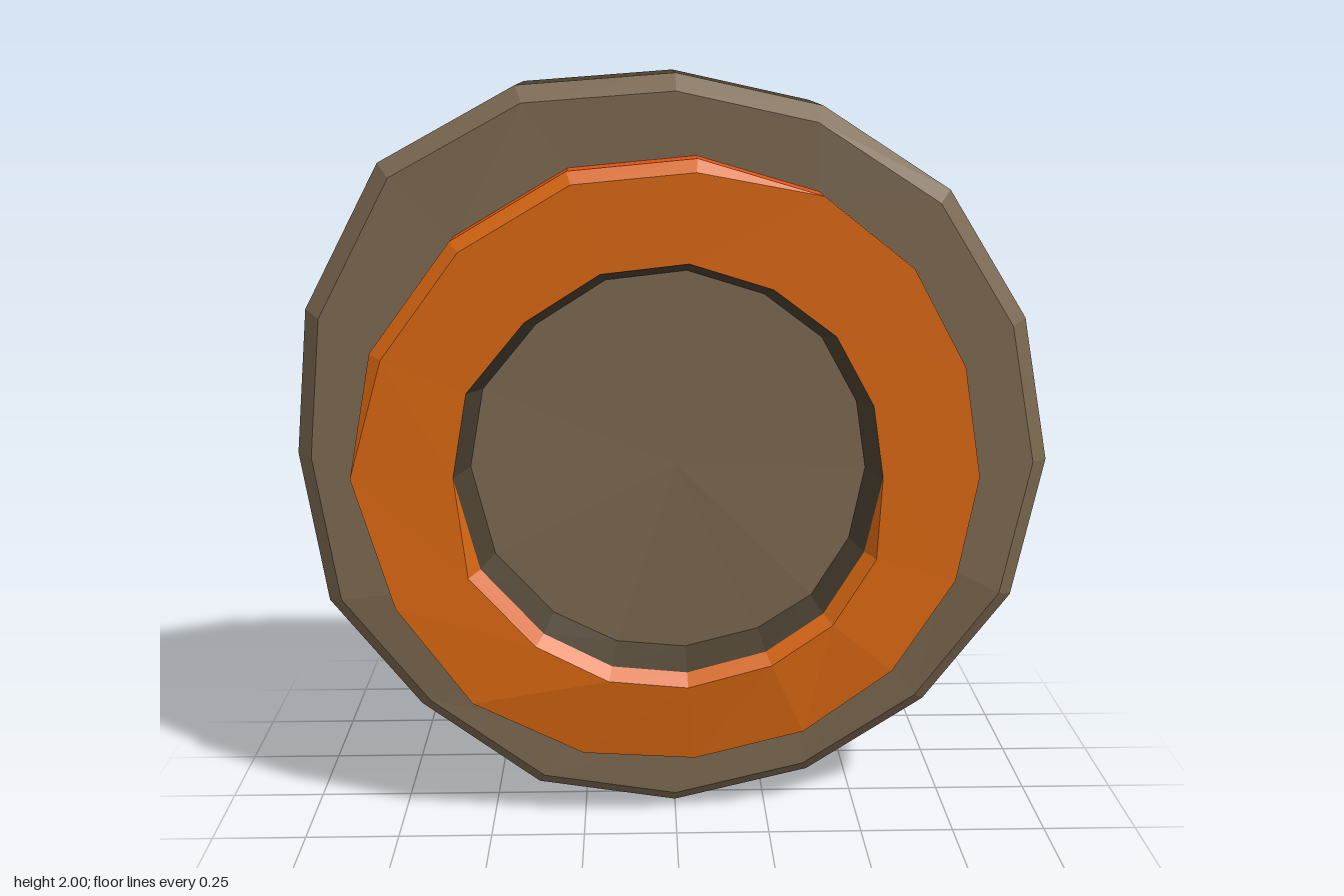
import * as THREE from 'three';

const mat = (name, color) => {
  const m = new THREE.MeshStandardMaterial({ color, flatShading: true, side: THREE.DoubleSide });
  m.name = name;
  return m;
};

// Hand-cut 16-sided outlines, clockwise from the top, as [x, y]
const TYRE = [[0, 2], [0.37, 1.92], [0.7, 1.71], [0.91, 1.38], [0.985, 1], [0.91, 0.62], [0.69, 0.3], [0.37, 0.09],
  [0, 0], [-0.38, 0.06], [-0.7, 0.3], [-0.93, 0.62], [-0.99, 1.03], [-0.95, 1.41], [-0.75, 1.78], [-0.4, 1.97]];
const RING = [[0.05, 1.8], [0.36, 1.71], [0.59, 1.53], [0.73, 1.28], [0.78, 0.99], [0.73, 0.71], [0.57, 0.46], [0.34, 0.28],
  [0.05, 0.2], [-0.25, 0.22], [-0.54, 0.38], [-0.73, 0.65], [-0.83, 1], [-0.77, 1.32], [-0.56, 1.6], [-0.27, 1.77]];
const HOLE = [[0.03, 1.545], [0.24, 1.48], [0.4, 1.36], [0.5, 1.18], [0.53, 0.99], [0.52, 0.77], [0.41, 0.59], [0.25, 0.48],
  [0.03, 0.42], [-0.18, 0.44], [-0.37, 0.54], [-0.54, 0.73], [-0.57, 1], [-0.53, 1.22], [-0.38, 1.4], [-0.19, 1.52]];

// The front sags back towards the bottom and slightly towards +x
const clamp = THREE.MathUtils.clamp;
const sag = (x, y) => 0.04 * clamp((0.62 - y) / 0.32, 0, 1);
const faceZ = (x, y) => 0.138 - 0.012 * clamp((x - 0.35) / 0.6, 0, 1) - sag(x, y);
const ringZ = (x, y) => 0.25 + 0.008 * clamp(y - 1, 0, 1) - 0.018 * clamp((x - 0.25) / 0.5, 0, 1)
  - 0.045 * clamp((0.42 - y) / 0.22, 0, 1);

// Lift an outline into 3D: scale about the centre, depth from a rule
const loop = (pts, scale, z) => pts.map(([px, py], i) => {
  const s = typeof scale === 'function' ? scale(i) : scale;
  const x = px * s, y = 1 + (py - 1) * s;
  return [x, y, z(x, y, i)];
});

// Skin consecutive loops with quads
function loft(name, material, ...loops) {
  const pos = [];
  for (let k = 0; k + 1 < loops.length; k++) {
    const a = loops[k], b = loops[k + 1];
    for (let i = 0; i < a.length; i++) {
      const j = (i + 1) % a.length;
      pos.push(...a[i], ...b[i], ...a[j], ...a[j], ...b[i], ...b[j]);
    }
  }
  const g = new THREE.BufferGeometry();
  g.setAttribute('position', new THREE.Float32BufferAttribute(pos, 3));
  g.computeVertexNormals();
  const mesh = new THREE.Mesh(g, material);
  mesh.name = name;
  return mesh;
}

export function createModel() {
  const tread = mat('dark brown', 0x4b4131);
  const face = mat('brown', 0x7b6850);
  const ringFace = mat('orange', 0xd96711);
  const ringSide = mat('red orange', 0xec5412);
  const group = new THREE.Group();
  group.name = 'wheel';

  // Tyre: open-backed tread band, then bevel and front disc
  const backEdge = loop(TYRE, 1, () => -0.26);
  const frontEdge = loop(TYRE, 1, (x, y) => 0.09 - sag(x, y));
  const bevelEdge = loop(TYRE, 0.957, faceZ);
  group.add(loft('treadBand', tread, backEdge, frontEdge));
  group.add(loft('tyreBevel', face, frontEdge, bevelEdge));
  group.add(loft('frontDisc', face, bevelEdge,
    loop(RING, 0.99, (x, y) => faceZ(x, y) - 0.004),
    loop(HOLE, 0.93, (x, y) => faceZ(x, y) - 0.008),
    loop(HOLE, 0, () => 0.125)));

  // Raised ring: the upper left outer edge and lower inner edge are chamfered
  const outerCut = (i) => (i === 0 || i >= 13 ? 1 : 0);
  const innerCut = (i) => (i >= 5 && i <= 11 ? 1 : 0);
  const ringBase = loop(RING, 1, (x, y) => faceZ(x, y) - 0.004);
  const ringEdge = loop(RING, 1, (x, y, i) => ringZ(x, y) - 0.025 * outerCut(i));
  const ringFront = loop(RING, (i) => 1 - 0.04 * outerCut(i), ringZ);
  const holeFront = loop(HOLE, 1, (x, y) => ringZ(x, y) - 0.005);
  const holeEdge = loop(HOLE, (i) => 1 - 0.055 * innerCut(i), (x, y, i) => ringZ(x, y) - 0.005 - 0.03 * innerCut(i));
  const holeBase = loop(HOLE, (i) => 0.94 - 0.055 * innerCut(i), (x, y) => faceZ(x, y) - 0.008);
  group.add(loft('ringSide', ringSide, ringBase, ringEdge));
  group.add(loft('ringFace', ringFace, ringEdge, ringFront, holeFront, holeEdge));
  group.add(loft('ringInnerWall', tread, holeEdge, holeBase));
  return group;
}
